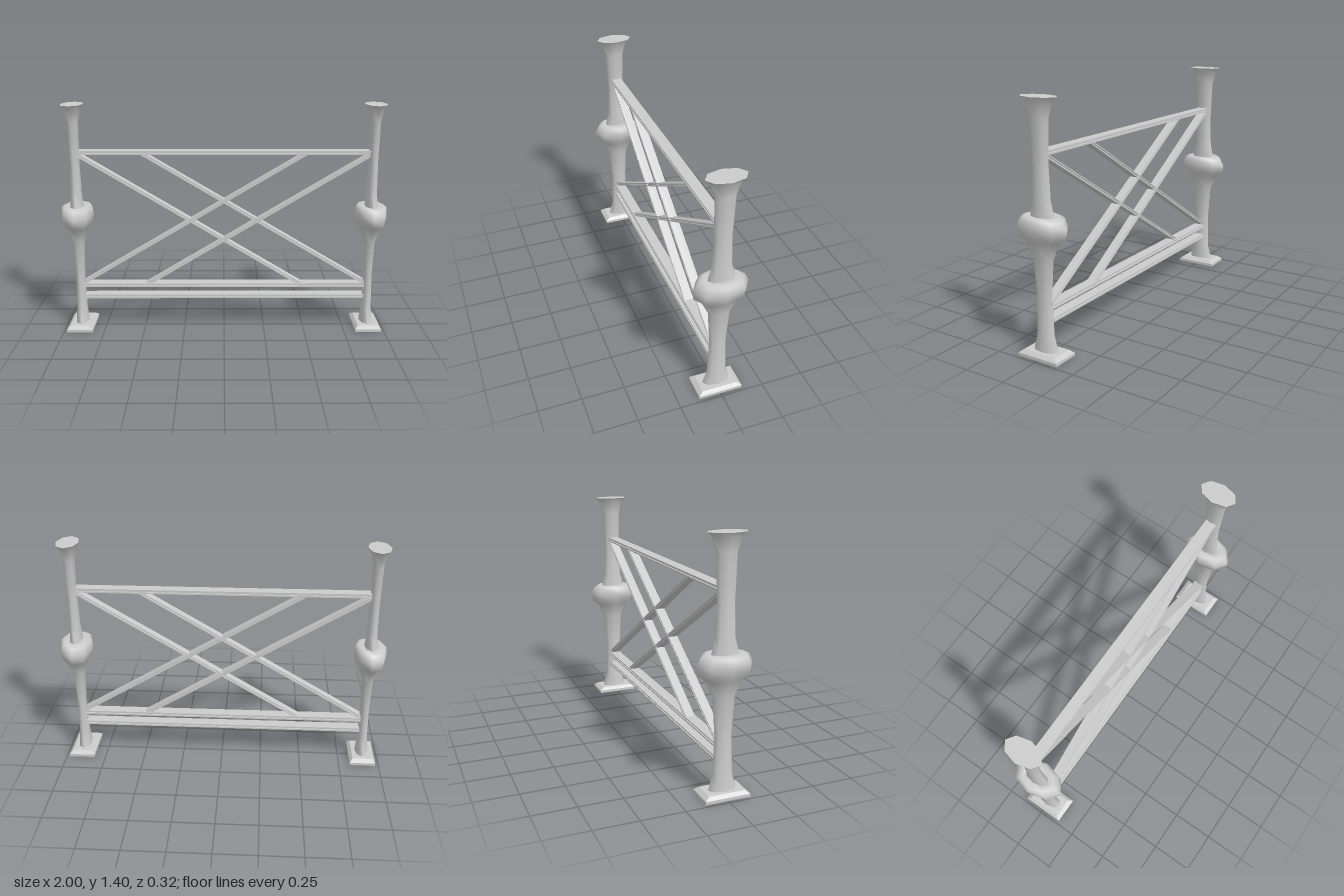
import * as THREE from 'three';
import { toCreasedNormals } from 'three/addons/utils/BufferGeometryUtils.js';

const material = new THREE.MeshStandardMaterial({ color: 0xcccccc });
const flatMaterial = new THREE.MeshStandardMaterial({ color: 0xcccccc, flatShading: true });

// Post rings: [height, half width in x, half depth in z]
const postRings = [
  [0.03, 0.042, 0.082], [0.12, 0.033, 0.058], [0.34, 0.028, 0.05], [0.56, 0.036, 0.066],
  [0.65, 0.068, 0.108], [0.68, 0.088, 0.152], [0.73, 0.1, 0.16], [0.775, 0.096, 0.135],
  [0.79, 0.08, 0.105], [0.785, 0.04, 0.078], [0.87, 0.033, 0.058], [1.05, 0.029, 0.051],
  [1.3, 0.033, 0.06], [1.385, 0.052, 0.09], [1.405, 0.068, 0.113], [1.405, 0, 0],
];

// Eight-sided turned column, squeezed ring by ring into ovals
function postGeometry() {
  const points = postRings.map(([y, , rz]) => new THREE.Vector2(rz, y));
  const geometry = new THREE.LatheGeometry(points, 8);
  const position = geometry.attributes.position;
  for (let i = 0; i < position.count; i++) {
    const [, rx, rz] = postRings[i % postRings.length];
    if (rz > 0) position.setX(i, position.getX(i) * rx / rz);
  }
  return toCreasedNormals(geometry, 1.3);
}

// Foot plate with a sloping upper edge
function footGeometry() {
  const geometry = new THREE.BoxGeometry(0.16, 0.035, 0.26, 1, 2, 1);
  const position = geometry.attributes.position;
  for (let i = 0; i < position.count; i++) {
    if (position.getY(i) > 0.01) {
      position.setX(i, position.getX(i) * 0.78);
      position.setZ(i, position.getZ(i) * 0.8);
    }
  }
  return geometry.translate(0, 0.0175, 0);
}

// Bar with a groove along both sides, laid from one point to another
function bar(name, x1, y1, x2, y2, width, height) {
  const w = width / 2, h = height / 2, g = height / 6, d = w - 0.01;
  const outline = [[-w, -h], [w, -h], [w, -g], [d, -g], [d, g], [w, g],
    [w, h], [-w, h], [-w, g], [-d, g], [-d, -g], [-w, -g]];
  const shape = new THREE.Shape(outline.map(([x, y]) => new THREE.Vector2(x, y)));
  const length = Math.hypot(x2 - x1, y2 - y1);
  const geometry = new THREE.ExtrudeGeometry(shape, { depth: length, bevelEnabled: false });
  geometry.translate(0, 0, -length / 2).rotateY(Math.PI / 2);
  const mesh = new THREE.Mesh(geometry, flatMaterial);
  mesh.name = name;
  mesh.position.set((x1 + x2) / 2, (y1 + y2) / 2, 0);
  mesh.rotation.z = Math.atan2(y2 - y1, x2 - x1);
  return mesh;
}

export function createModel() {
  const model = new THREE.Group();
  model.name = 'railing';

  // Two posts on foot plates
  const column = postGeometry(), foot = footGeometry();
  for (const side of [-1, 1]) {
    const post = new THREE.Group();
    post.name = side > 0 ? 'leftPost' : 'rightPost';
    const columnMesh = new THREE.Mesh(column, material);
    columnMesh.name = 'column';
    const footMesh = new THREE.Mesh(foot, flatMaterial);
    footMesh.name = 'footPlate';
    post.add(columnMesh, footMesh);
    post.position.x = side * 0.9;
    model.add(post);
  }

  // Horizontal rails
  for (const [name, y] of [['topRail', 1.117], ['middleRail', 0.277], ['bottomRail', 0.202]]) {
    model.add(bar(name, -0.88, y, 0.88, y, 0.066, 0.025));
  }

  // Crossed pairs of diagonal braces, mirrored left to right
  for (const s of [-1, 1]) {
    model.add(bar('outerBrace', -0.875 * s, 1.1, 0.485 * s, 0.278, 0.054, 0.02));
    model.add(bar('innerBrace', -0.5 * s, 1.115, 0.875 * s, 0.293, 0.054, 0.02));
  }
  return model;
}
